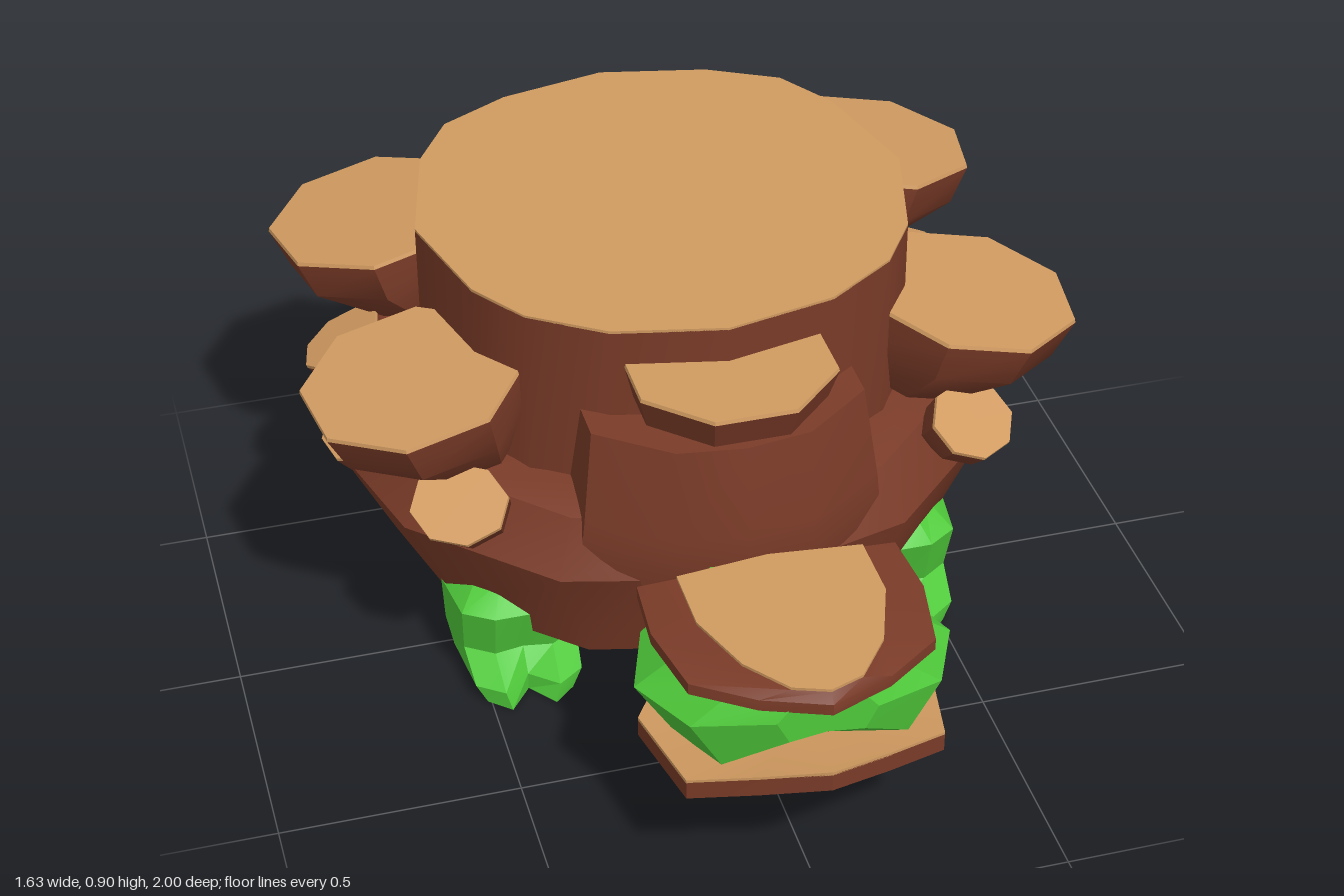
import * as THREE from 'three';
import { toCreasedNormals } from 'three/addons/utils/BufferGeometryUtils.js';

const mat = (color) => new THREE.MeshStandardMaterial({ color });
const BROWN = mat(0x7a3b28), TAN = mat(0xd09a60), GREEN = mat(0x4fc93a);

// Closed solid through a list of rings, each an array of [x, y, z] with equal counts
function loft(name, rings, material, crease = 0.6) {
  const n = rings[0].length, pos = [];
  const mid = (r) => [0, 1, 2].map((k) => r.reduce((s, p) => s + p[k], 0) / n);
  const c0 = mid(rings[0]), c1 = mid(rings[rings.length - 1]);
  const tris = [];
  for (let j = 0; j < n; j++) {
    const k = (j + 1) % n;
    for (let i = 0; i + 1 < rings.length; i++) {
      const a = rings[i][j], b = rings[i][k], c = rings[i + 1][k], d = rings[i + 1][j];
      tris.push([a, b, c], [a, c, d]);
    }
    tris.push([c0, rings[0][k], rings[0][j]]);
    tris.push([c1, rings[rings.length - 1][j], rings[rings.length - 1][k]]);
  }
  // Turn all faces outward by the sign of the enclosed volume
  let vol = 0;
  const A = new THREE.Vector3(), B = new THREE.Vector3(), C = new THREE.Vector3();
  for (const [a, b, c] of tris) vol += A.set(...a).dot(B.set(...b).cross(C.set(...c)));
  for (const [a, b, c] of tris) pos.push(...a, ...(vol < 0 ? c : b), ...(vol < 0 ? b : c));
  const g = new THREE.BufferGeometry();
  g.setAttribute('position', new THREE.Float32BufferAttribute(pos, 3));
  const mesh = new THREE.Mesh(toCreasedNormals(g, crease), material);
  mesh.name = name;
  return mesh;
}

// Elliptic ring in the ground plane
const ellipse = (n, rx, rz, cz, y, turn = 0) => Array.from({ length: n }, (_, i) => {
  const a = ((i + turn) / n) * Math.PI * 2;
  return [rx * Math.sin(a), typeof y === 'function' ? y(a) : y, cz + rz * Math.cos(a)];
});

// Half outline [x, z] (front to back) mirrored to a full ring; y may depend on z
function mirrored(half, y) {
  const ring = half.map(([x, z]) => [x, z]);
  for (const [x, z] of [...half].reverse()) if (x > 0) ring.push([-x, z]);
  return ring.map(([x, z]) => [x, typeof y === 'function' ? y(z, x) : y, z]);
}

// Bracket fungus growing along its local +z
function fungus(name, [x, y, z], angle, w, d, h, tilt) {
  const g = new THREE.Group();
  g.name = name;
  const ring = (s, yy, shift) => ellipse(8, w * s * 1.05, d * s * 1.05, shift, yy, 0.5);
  g.add(loft('fungusBody', [
    ring(0.5, -h, -0.32 * d), ring(0.92, -0.45 * h, -0.06 * d), ring(1, 0, 0),
  ], BROWN));
  g.add(loft('fungusTop', [ring(1, 0, 0), ring(0.99, 0.008, 0)], TAN));
  g.position.set(x, y, z);
  g.rotation.set(tilt, THREE.MathUtils.degToRad(angle), 0, 'YXZ');
  return g;
}

// Stubby leg with a two-toed foot: rows of [y, halfWidth, back z, front z, notch]
function leg(name, x, z, tall) {
  const rows = [
    [0, 0.105, -0.09, 0.26, 0.06], [0.04, 0.13, -0.09, 0.25, 0.05], [0.085, 0.138, -0.095, 0.17, 0.01],
    [0.2, 0.145, -0.1, 0.2, 0], [0.25, 0.09, -0.02, 0.14, 0],
  ];
  const rings = rows.map(([y, w, b, f, notch]) => mirrored([
    [0, f - notch], [0.45 * w, f], [0.88 * w, f - 0.04], [w, (b + f) / 2 - 0.02], [0.6 * w, b],
  ], y * tall));
  const mesh = loft(name, rings, GREEN, 0.4);
  mesh.position.set(x, 0, z);
  return mesh;
}

export function createModel() {
  const model = new THREE.Group();
  model.name = 'tortoise';

  // Shell with a sloped rim and slightly arched underside
  model.add(loft('shell', [
    ellipse(12, 0.6, 0.65, -0.28, (a) => 0.11 + 0.05 * Math.cos(a) ** 2),
    ellipse(12, 0.735, 0.71, -0.285, 0.38),
    ellipse(12, 0.66, 0.655, -0.285, 0.5),
    ellipse(12, 0.56, 0.56, -0.265, 0.53),
  ], BROWN));

  // Tree stump on the back
  const stump = [[0, 0.28], [0.23, 0.23], [0.38, 0.13], [0.46, 0.01], [0.525, -0.24],
    [0.46, -0.51], [0.38, -0.64], [0.23, -0.72], [0, -0.77]];
  model.add(loft('stump', [mirrored(stump, 0.4), mirrored(stump, 0.897)], BROWN));
  model.add(loft('stumpTop', [mirrored(stump, 0.896), mirrored(stump, 0.902)], TAN));

  // Raised collar above the neck
  const collar = (w, f) => [[0, f], [0.14, f - 0.02], [w, f - 0.13], [w, 0.05]];
  model.add(loft('collar', [
    mirrored(collar(0.31, 0.4), 0.26), mirrored(collar(0.32, 0.44), 0.4),
    mirrored(collar(0.31, 0.44), 0.5), mirrored(collar(0.285, 0.41), 0.7),
  ], BROWN));

  // Bracket fungi: front and back singles, the rest in mirrored pairs
  model.add(fungus('frontFungus', [0, 0.815, 0.28], 0, 0.21, 0.2, 0.155, 0));
  model.add(fungus('backFungus', [0, 0.8, -0.77], 180, 0.25, 0.2, 0.17, 0.2));
  const pairs = [
    ['largeFrontFungus', [0.595, 0.72, 0.03], 82, 0.225, 0.22, 0.2, 0.16],
    ['largeBackFungus', [0.555, 0.75, -0.565], 122, 0.235, 0.22, 0.19, 0.13],
    ['smallFrontFungus', [0.545, 0.53, 0.22], 32, 0.1, 0.085, 0.1, 0.6],
    ['smallSideFungus', [0.68, 0.53, -0.1], 78, 0.1, 0.09, 0.1, 0.45],
    ['smallRearFungus', [0.67, 0.545, -0.4], 102, 0.095, 0.09, 0.1, 0.5],
    ['smallBackFungus', [0.47, 0.53, -0.74], 145, 0.1, 0.085, 0.1, 0.6],
  ];
  for (const [name, [x, y, z], angle, ...size] of pairs)
    for (const s of [1, -1]) model.add(fungus(name, [s * x, y, z], s * angle, ...size));

  // Legs
  for (const s of [1, -1]) {
    model.add(leg('frontLeg', s * 0.415, 0, 1));
    model.add(leg('backLeg', s * 0.415, -0.69, 1.12));
  }

  // Neck and head: stations of [z, halfWidth, bottom, widest, top, mouth arch]
  const stations = [
    [0.34, 0.17, 0.24, 0.34, 0.42, 0], [0.48, 0.115, 0.25, 0.35, 0.44, 0], [0.56, 0.26, 0.26, 0.41, 0.5, 0],
    [0.74, 0.32, 0.3, 0.43, 0.52, 0.02], [0.89, 0.25, 0.33, 0.44, 0.52, 0.05], [0.96, 0.1, 0.42, 0.47, 0.52, 0.01],
  ];
  model.add(loft('head', stations.map(([z, w, yb, ym, yt, arch]) => [
    [0, yt, z], [0.6 * w, yt, z], [w, ym, z], [0.75 * w, yb, z],
    [0, yb + arch, z], [-0.75 * w, yb, z], [-w, ym, z], [-0.6 * w, yt, z],
  ]), GREEN, 0.4));

  // Head plate with a pale raised centre
  const plate = [[0, 0.99], [0.13, 0.94], [0.245, 0.86], [0.275, 0.7], [0.265, 0.555], [0, 0.53]];
  const crest = [[0, 0.975], [0.07, 0.95], [0.14, 0.86], [0.19, 0.72], [0.19, 0.575], [0, 0.555]];
  model.add(loft('headPlate', [
    mirrored(plate, 0.495), mirrored(plate, 0.52), mirrored(crest, 0.54),
  ], BROWN));
  model.add(loft('headCrest', [mirrored(crest, 0.535), mirrored(crest, 0.546)], TAN));

  // Lower jaw, rising to a point at the front
  const jaw = [[0, 1], [0.13, 0.955], [0.26, 0.9], [0.3, 0.69], [0.24, 0.6], [0, 0.57]];
  const keel = jaw.map(([x, z]) => [x * 0.62, 0.75 + (z - 0.78) * 0.6]);
  const lip = (lift) => (z) => 0.3 + lift + 0.055 * Math.max(0, (z - 0.88) / 0.12);
  model.add(loft('lowerJaw', [
    mirrored(keel, 0.215), mirrored(jaw, (z) => lip(-0.04)(z)), mirrored(jaw, lip(0)),
  ], BROWN));
  model.add(loft('jawLining', [mirrored(jaw, lip(-0.002)), mirrored(jaw, lip(0.006))], TAN));

  return model;
}
